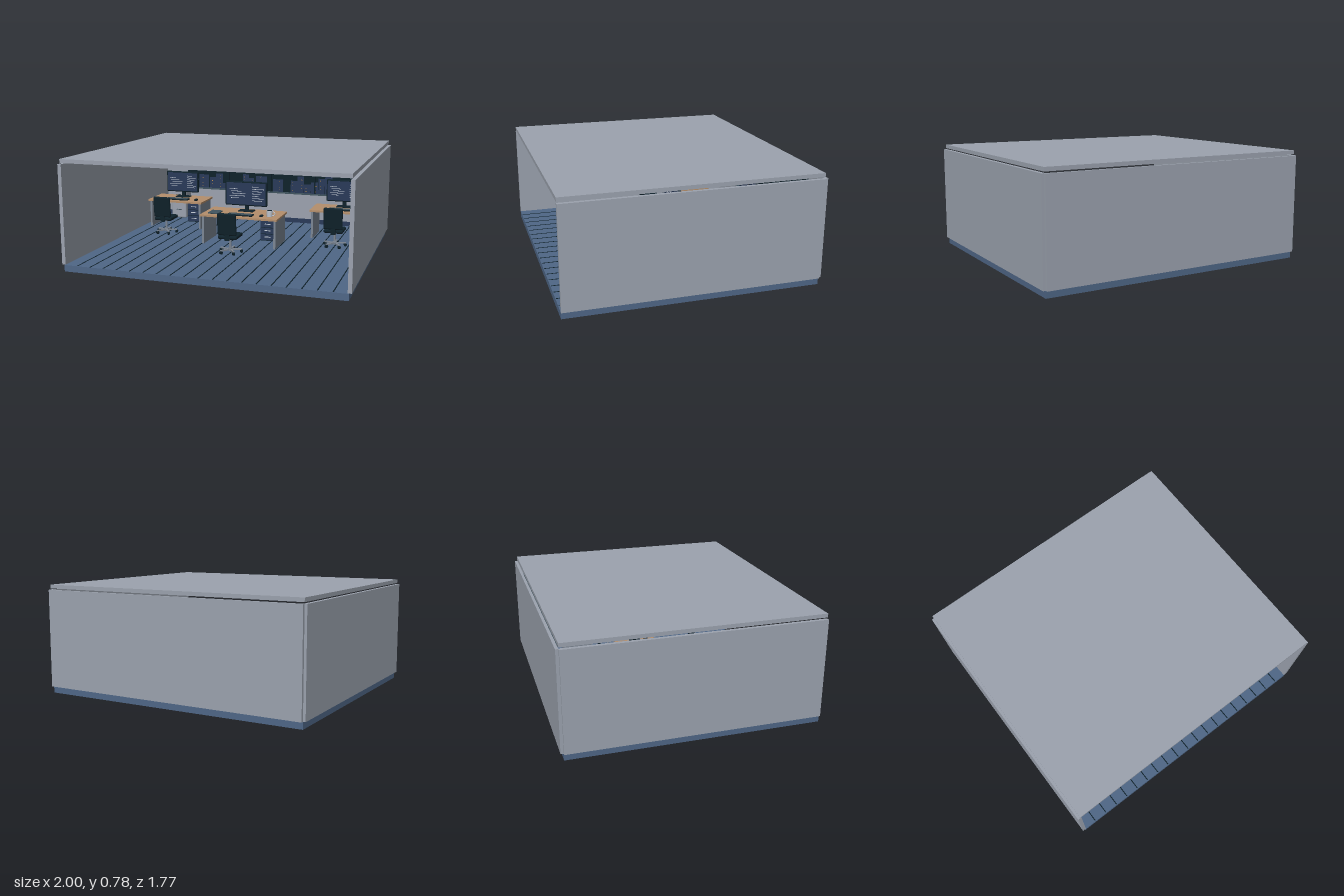
import * as THREE from 'three';
import { RoundedBoxGeometry } from 'three/addons/geometries/RoundedBoxGeometry.js';

const mat = (name, color) => {
  const m = new THREE.MeshStandardMaterial({ color });
  m.name = name;
  return m;
};

export function createModel() {
  const wall = mat('wall grey', 0x9ca3af);
  const floorBlue = mat('floor blue', 0x4f6787);
  const navy = mat('navy', 0x2a3a59);
  const dark = mat('dark teal', 0x0f222b);
  const wood = mat('wood', 0xb58f6c);
  const metal = mat('metal grey', 0x7d8794);
  const steel = mat('blind steel', 0x40545f);
  const pale = mat('pale text', 0xc3cad4);
  const amber = mat('amber light', 0xb98a4a);

  const room = new THREE.Group();
  room.name = 'officeRoom';

  const add = (parent, name, geo, material, x, y, z) => {
    const m = new THREE.Mesh(geo, material);
    m.name = name;
    m.position.set(x, y, z);
    parent.add(m);
    return m;
  };
  const box = (p, name, material, w, h, d, x, y, z) =>
    add(p, name, new THREE.BoxGeometry(w, h, d), material, x, y, z);
  const soft = (p, name, material, w, h, d, r, x, y, z) =>
    add(p, name, new RoundedBoxGeometry(w, h, d, 2, r), material, x, y, z);
  const rod = (p, name, material, r, len, x, y, z) =>
    add(p, name, new THREE.CylinderGeometry(r, r, len, 12), material, x, y, z);
  const group = (name, x = 0, y = 0, z = 0) => {
    const g = new THREE.Group();
    g.name = name;
    g.position.set(x, y, z);
    room.add(g);
    return g;
  };

  // Shell: floor, ceiling, three walls, open at the front
  box(room, 'floor', floorBlue, 1.966, 0.046, 1.75, 0, 0.023, 0.01);
  box(room, 'ceiling', wall, 1.966, 0.027, 1.75, 0, 0.768, 0.01);
  box(room, 'backWall', wall, 1.966, 0.697, 0.02, 0, 0.397, -0.875);
  for (const s of [-1, 1]) box(room, 'sideWall', wall, 0.026, 0.697, 1.75, s * 0.987, 0.397, 0.01);
  box(room, 'skirting', navy, 1.95, 0.036, 0.01, 0, 0.066, -0.86);

  // Floorboard seams running front to back
  for (let i = 1; i < 20; i++)
    box(room, 'floorSeam', dark, 0.007, 0.003, 1.74, -0.983 + i * 0.0983, 0.0465, 0.01);

  // Window with night skyline
  const win = group('window', 0, 0, -0.865);
  box(win, 'glass', dark, 1.53, 0.385, 0.006, 0, 0.497, 0.003);
  const towers = [
    [-0.53, 0.07, 0.1], [-0.475, 0.062, 0.135], [-0.385, 0.12, 0.05], [-0.285, 0.05, 0.07],
    [-0.23, 0.055, 0.14], [-0.18, 0.045, 0.11], [-0.09, 0.1, 0.13], [0.06, 0.09, 0.11],
    [0.2, 0.055, 0.105], [0.258, 0.058, 0.145], [0.318, 0.06, 0.08], [0.38, 0.06, 0.1],
    [0.44, 0.055, 0.135], [0.5, 0.06, 0.16], [0.57, 0.07, 0.1], [0.66, 0.09, 0.12],
    [-0.62, 0.09, 0.12], [-0.71, 0.08, 0.08],
  ];
  towers.forEach(([x, w, h], i) => {
    box(win, 'tower', navy, w, h, 0.004, x, 0.305 + h / 2, 0.008);
    for (let k = 0; k * 0.024 < h - 0.03; k++)
      if ((i + k) % 3) box(win, 'towerLight', amber, 0.007, 0.006, 0.002, x + (i % 2 ? 0.012 : -0.01), 0.325 + k * 0.024, 0.011);
  });
  for (const x of [-0.765, -0.383, 0, 0.383, 0.765])
    box(win, 'mullion', dark, 0.012, 0.385, 0.018, x, 0.497, 0.012);
  box(win, 'sill', steel, 1.56, 0.01, 0.03, 0, 0.303, 0.015);
  for (let i = 0; i < 6; i++) {
    box(win, 'blindSlat', dark, 1.52, 0.018, 0.006, 0, 0.668 - i * 0.026, 0.026);
    box(win, 'blindEdge', steel, 1.52, 0.006, 0.01, 0, 0.655 - i * 0.026, 0.027);
  }
  rod(win, 'blindRail', steel, 0.008, 1.53, 0, 0.69, 0.028).rotation.z = Math.PI / 2;
  for (const s of [-1, 1])
    add(win, 'railEnd', new THREE.SphereGeometry(0.012, 12, 8), steel, s * 0.765, 0.69, 0.028);

  // Ceiling lamps
  for (const x of [-0.44, 0.435]) {
    soft(room, 'ceilingLamp', dark, 0.35, 0.02, 0.06, 0.009, x, 0.715, 0);
    for (const s of [-1, 1]) rod(room, 'lampHanger', metal, 0.003, 0.04, x + s * 0.12, 0.738, 0);
  }

  // Filing cabinet by the back wall
  const cabinet = group('filingCabinet', -0.81, 0, -0.79);
  soft(cabinet, 'cabinetBody', wall, 0.135, 0.303, 0.13, 0.012, 0, 0.198, 0);
  box(cabinet, 'cabinetGap', metal, 0.13, 0.003, 0.004, 0, 0.185, 0.065);
  for (const y of [0.255, 0.122]) box(cabinet, 'cabinetHandle', steel, 0.045, 0.006, 0.01, 0, y, 0.068);

  // Desk: top, end panels, hanging drawers, monitor and keyboard
  function desk(name, x, z, w, depth, screenW, screenH) {
    const g = group(name, x, 0, z);
    box(g, 'deskTop', wood, w, 0.014, depth, 0, 0.268, 0);
    for (const s of [-1, 1])
      box(g, 'deskLeg', metal, 0.016, 0.214, depth - 0.03, s * (w / 2 - 0.02), 0.154, 0);
    const dx = w / 2 - 0.073;
    box(g, 'drawerUnit', navy, 0.115, 0.15, depth - 0.06, dx, 0.181, 0);
    for (let i = 0; i < 3; i++) {
      const y = 0.229 - i * 0.049, fz = depth / 2 - 0.027;
      box(g, 'drawerFront', navy, 0.105, 0.042, 0.008, dx, y, fz);
      box(g, 'drawerGap', dark, 0.115, 0.004, 0.003, dx, y - 0.0245, fz - 0.002);
      box(g, 'drawerHandle', pale, 0.045, 0.005, 0.008, dx, y + 0.004, fz + 0.007);
    }
    const mx = name === 'leftDesk' ? 0.002 : 0;
    const mz = -depth * 0.2, my = 0.32 + screenH / 2;
    soft(g, 'monitorCase', dark, screenW, screenH, 0.022, 0.008, mx, my, mz);
    box(g, 'monitorScreen', navy, screenW - 0.018, screenH - 0.02, 0.004, mx, my, mz + 0.011);
    box(g, 'monitorStem', dark, 0.03, 0.1, 0.014, mx, 0.32, mz - 0.016);
    soft(g, 'monitorFoot', dark, 0.12, 0.008, 0.07, 0.003, mx, 0.279, mz - 0.01);
    // Lines of text on the screen
    for (let i = 0; i < 7; i++) {
      const y = my + screenH * (0.3 - i * 0.095);
      const lw = screenW * (0.2 + 0.06 * ((i * 5) % 4));
      if (i < 5) box(g, 'textLine', pale, lw, 0.004, 0.002, mx - screenW * 0.4 + lw / 2 + (i % 3) * 0.012, y - 0.02, mz + 0.014);
      const rw = screenW * (0.16 + 0.04 * ((i * 3) % 4));
      box(g, 'textLine', pale, rw, 0.004, 0.002, mx + screenW * 0.15 + rw / 2, y, mz + 0.014);
    }
    const kz = depth / 2 - 0.07;
    soft(g, 'keyboard', dark, 0.2, 0.01, 0.065, 0.004, mx, 0.28, kz);
    for (let r = 0; r < 3; r++) box(g, 'keyRow', steel, 0.18, 0.003, 0.012, mx, 0.2855, kz - 0.018 + r * 0.018);
    soft(g, 'mouse', dark, 0.025, 0.014, 0.038, 0.006, mx + 0.165, 0.282, kz);
    return g;
  }
  desk('rightSideDesk', -0.693, -0.49, 0.475, 0.27, 0.285, 0.175);
  desk('leftDesk', 0.688, -0.49, 0.475, 0.27, 0.285, 0.175);
  const main = desk('middleDesk', -0.003, -0.095, 0.605, 0.31, 0.335, 0.19);

  // Mug and notebook on the middle desk
  add(main, 'mug', new THREE.CylinderGeometry(0.024, 0.021, 0.045, 20), pale, 0.222, 0.298, 0.06);
  add(main, 'mugHandle', new THREE.TorusGeometry(0.014, 0.004, 8, 16), pale, 0.25, 0.298, 0.06);
  rod(main, 'coffee', dark, 0.02, 0.002, 0.222, 0.3205, 0.06);
  soft(main, 'notebook', steel, 0.085, 0.012, 0.1, 0.004, -0.21, 0.281, 0.06);

  // Swivel chairs, backs toward the front opening
  function chair(x, z) {
    const g = group('chair', x, 0, z);
    soft(g, 'seat', dark, 0.145, 0.028, 0.15, 0.012, 0, 0.176, 0);
    soft(g, 'backrest', dark, 0.142, 0.165, 0.022, 0.01, 0, 0.276, 0.078).rotation.x = 0.1;
    box(g, 'backBracket', dark, 0.035, 0.07, 0.01, 0, 0.19, 0.076);
    rod(g, 'chairPost', metal, 0.009, 0.1, 0, 0.115, 0);
    rod(g, 'chairHub', metal, 0.016, 0.02, 0, 0.075, 0);
    for (let i = 0; i < 5; i++) {
      const spoke = new THREE.Group();
      spoke.name = 'chairSpoke';
      spoke.rotation.y = (i * 2 * Math.PI) / 5 + Math.PI / 10;
      box(spoke, 'spokeArm', metal, 0.085, 0.01, 0.014, 0.043, 0.074, 0);
      rod(spoke, 'caster', dark, 0.012, 0.016, 0.082, 0.06, 0).rotation.x = Math.PI / 2;
      g.add(spoke);
    }
  }
  chair(-0.69, -0.18);
  chair(0, 0.235);
  chair(0.688, -0.18);

  return room;
}
